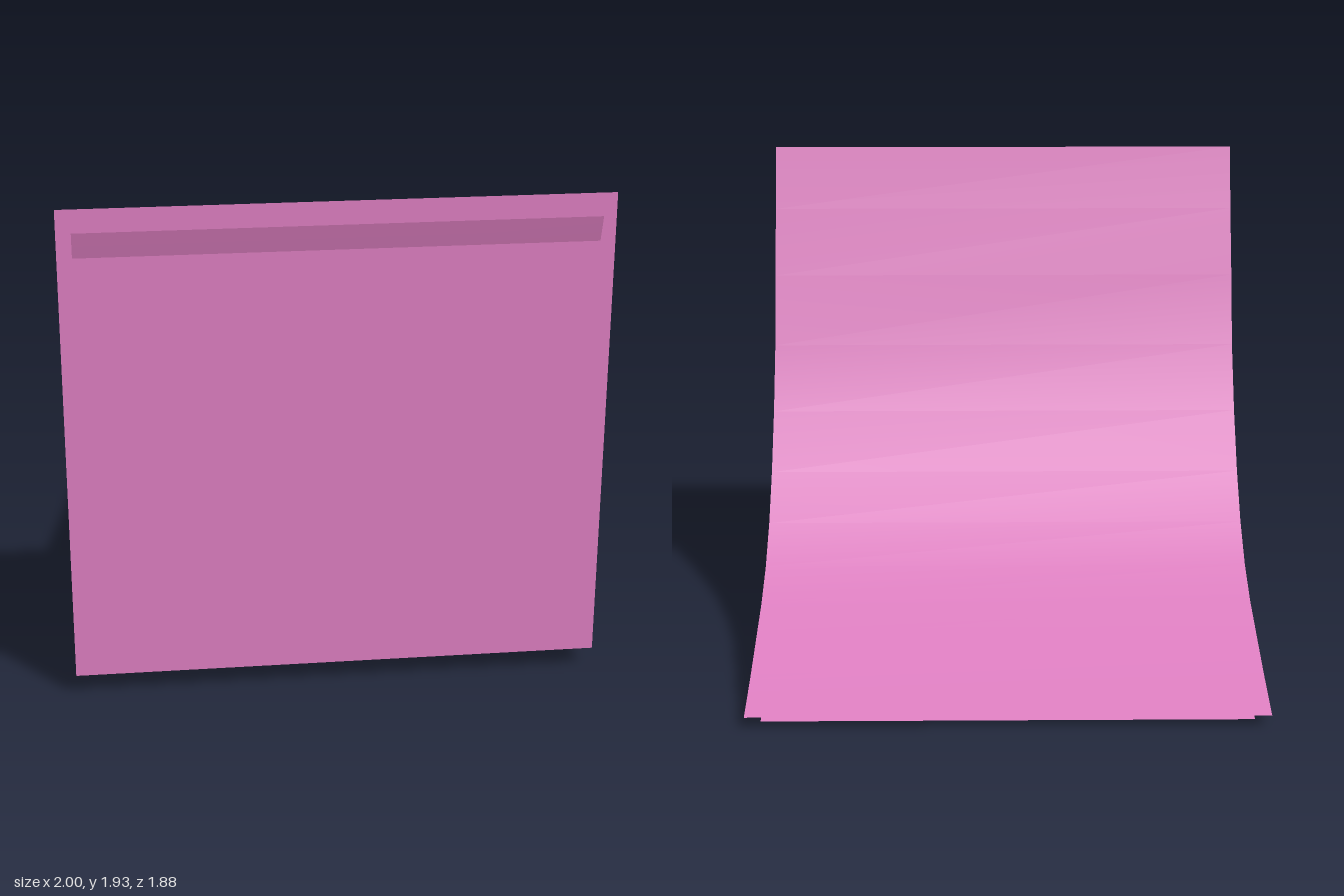
import * as THREE from 'three';
import { toCreasedNormals } from 'three/addons/utils/BufferGeometryUtils.js';

// Ramp curve as [z, y], from the top edge down to the thin tip
const CURVE = [
  [0.908, 1.933], [0.824, 1.674], [0.717, 1.398], [0.62, 1.107], [0.477, 0.847],
  [0.314, 0.622], [0.145, 0.449], [-0.038, 0.321], [-0.237, 0.235], [-0.472, 0.168],
  [-0.707, 0.102], [-0.942, 0.046],
];
const FRONT_FOOT = [0.903, 0.083];

export function createModel() {
  const group = new THREE.Group();
  group.name = 'curvedRamp';
  const pink = new THREE.MeshStandardMaterial({ color: 0xdd7ec0 });
  const pinkSheet = pink.clone();
  pinkSheet.side = THREE.DoubleSide;

  // Solid wedge: the side profile extruded across x, smooth along the curve
  const profile = new THREE.Shape([...CURVE, FRONT_FOOT].map(([z, y]) => new THREE.Vector2(-z, y)));
  const wedge = new THREE.ExtrudeGeometry(profile, { depth: 2, bevelEnabled: false });
  wedge.translate(0, 0, -1).rotateY(Math.PI / 2);
  const body = new THREE.Mesh(toCreasedNormals(wedge, 0.5), pink);
  body.name = 'rampBody';
  group.add(body);

  // Thin inner sheet: a slightly smaller copy of the curve, whose ends
  // poke out through the front wall and the base
  const sheet = new THREE.PlaneGeometry(1.89, 1, 1, CURVE.length - 1);
  const pos = sheet.attributes.position;
  for (let i = 0; i < pos.count; i++) {
    const [z, y] = CURVE[Math.floor(i / 2)];
    pos.setY(i, 0.983 * y - 0.045);
    pos.setZ(i, 0.982 * z + 0.049);
  }
  // Reverse the winding so that the front of the sheet faces up the ramp
  const idx = sheet.index;
  for (let i = 0; i < idx.count; i += 3) {
    const a = idx.getX(i);
    idx.setX(i, idx.getX(i + 1));
    idx.setX(i + 1, a);
  }
  sheet.computeVertexNormals();
  const inner = new THREE.Mesh(sheet, pinkSheet);
  inner.name = 'innerSheet';
  group.add(inner);

  return group;
}
